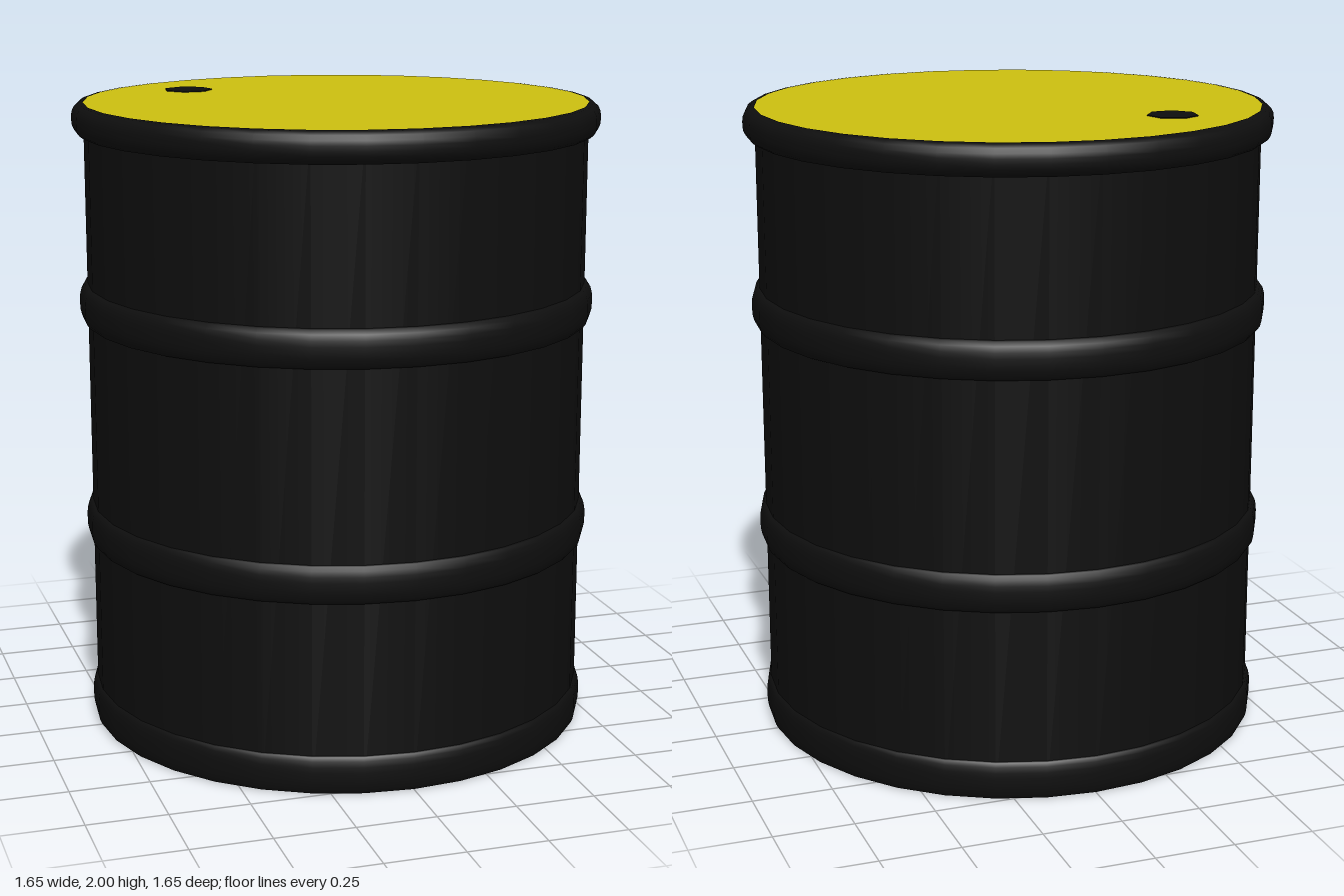
import * as THREE from 'three';

const SIDES = 32;
const BODY_R = 0.79;

export function createModel() {
  const drum = new THREE.Group();
  drum.name = 'drum';
  const black = new THREE.MeshStandardMaterial({ color: 0x0e0e0e });
  const yellow = new THREE.MeshStandardMaterial({ color: 0xcdc010 });

  const add = (name, geometry, material, y = 0) => {
    const mesh = new THREE.Mesh(geometry, material);
    mesh.name = name;
    mesh.position.y = y;
    drum.add(mesh);
    return mesh;
  };

  // Rounded band around the body, swept from its lower to its upper edge
  const band = (name, y0, y1, radius) => {
    const h = y1 - y0;
    const out = radius - BODY_R;
    const profile = [
      [0, 0], [0.4, 0.02], [0.75, 0.12], [0.95, 0.27], [1, 0.42],
      [1, 0.58], [0.95, 0.73], [0.75, 0.88], [0.4, 0.98], [0, 1],
    ].map(([r, t]) => new THREE.Vector2(BODY_R + r * out, y0 + t * h));
    add(name, new THREE.LatheGeometry(profile, SIDES), black);
  };

  // Straight wall
  add('body', new THREE.CylinderGeometry(BODY_R, BODY_R, 1.99, SIDES, 1, true), black, 1.0);

  // Closed base
  add('base', new THREE.CircleGeometry(BODY_R, SIDES).rotateX(Math.PI / 2), black, 0.005);

  // Bands and top rim
  band('bottomBand', 0, 0.12, 0.805);
  band('lowerBand', 0.6, 0.72, 0.81);
  band('upperBand', 1.31, 1.43, 0.815);
  band('topRim', 1.9, 1.998, 0.827);

  // Coloured lid, flush with the rim
  add('lid', new THREE.CircleGeometry(0.793, SIDES).rotateX(-Math.PI / 2), yellow, 1.997);

  // Seven-sided filler cap
  const cap = add('fillerCap', new THREE.CylinderGeometry(0.079, 0.079, 0.02, 7, 1, false, Math.PI + 0.06), black, 1.99);
  cap.position.x = -0.375;
  cap.position.z = -0.42;

  return drum;
}
